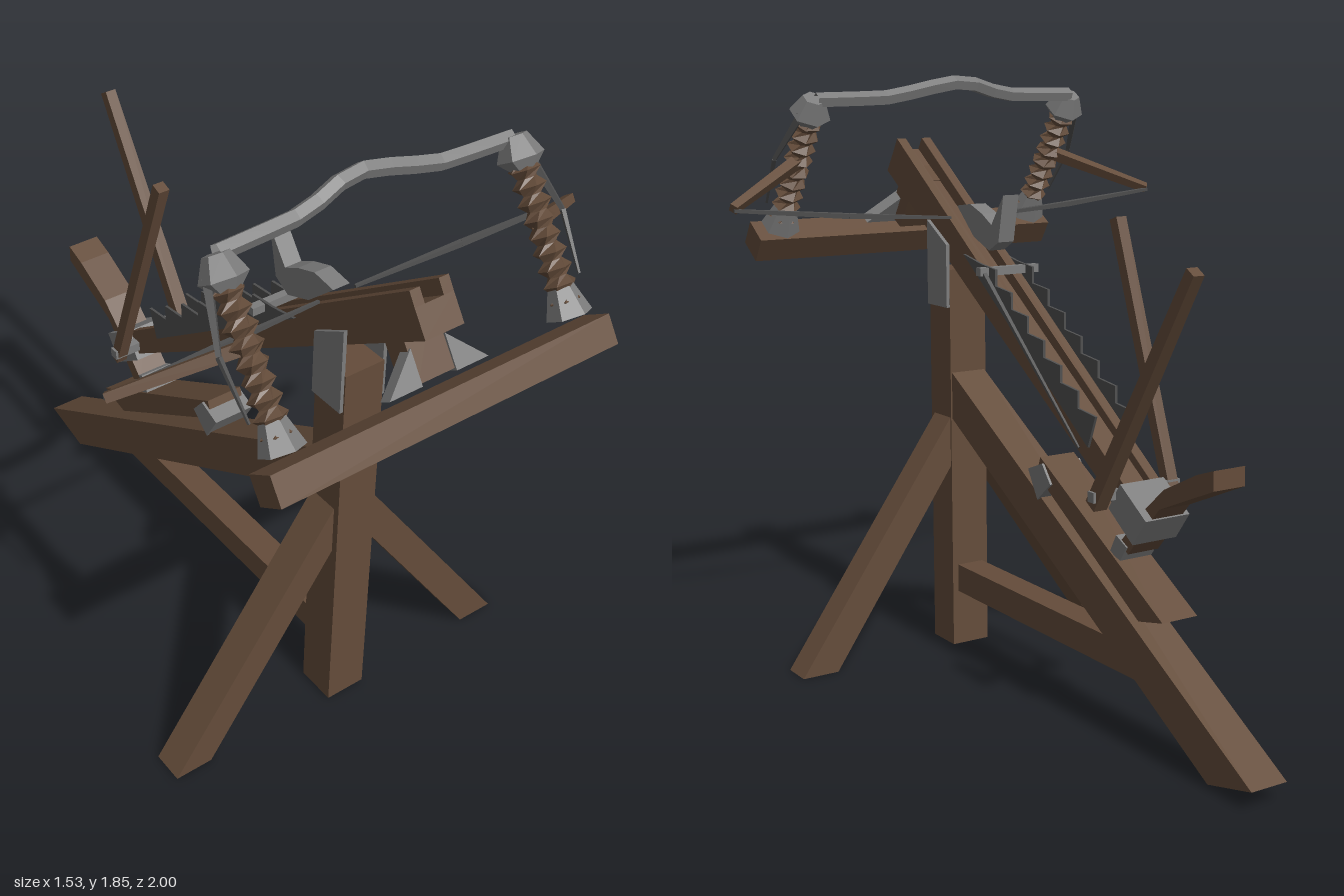
import * as THREE from 'three';

const mat = (name, color, flat = true) => {
  const m = new THREE.MeshStandardMaterial({ color, flatShading: flat, side: THREE.DoubleSide });
  m.name = name;
  return m;
};

export function createModel() {
  const root = new THREE.Group();
  root.name = 'ballista';
  const wood = mat('wood', 0x644c3a);
  const iron = mat('iron', 0x7c7c7c);
  const darkIron = mat('dark iron', 0x505050);
  const V = (x, y, z) => new THREE.Vector3(x, y, z);

  const add = (name, geo, material) => {
    const m = new THREE.Mesh(geo, material);
    m.name = name;
    root.add(m);
    return m;
  };
  // side profile given as [z, y], stretched from x0 to x1
  const prism = (name, pts, x0, x1, material) => {
    const s = new THREE.Shape(pts.map(([z, y]) => new THREE.Vector2(-z, y)));
    const g = new THREE.ExtrudeGeometry(s, { depth: x1 - x0, bevelEnabled: false });
    g.rotateY(Math.PI / 2).translate(x0, 0, 0);
    return add(name, g, material);
  };
  // tapered square bar between two points
  const bar = (name, a, b, w0, w1, material) => {
    const d = b.clone().sub(a);
    const g = new THREE.CylinderGeometry(w1 * 0.707, w0 * 0.707, d.length(), 4).rotateY(Math.PI / 4);
    const m = add(name, g, material);
    m.position.copy(a).addScaledVector(d, 0.5);
    m.quaternion.setFromUnitVectors(V(0, 1, 0), d.normalize());
    return m;
  };
  const box = (name, w, h, d, x, y, z, material) => {
    const m = add(name, new THREE.BoxGeometry(w, h, d), material);
    m.position.set(x, y, z);
    return m;
  };

  // stand
  box('post', 0.13, 1.24, 0.125, 0, 0.63, 0.567, wood);
  prism('rearLeg', [[0.505, 0.92], [0.505, 0.77], [-0.82, 0.01], [-1, 0.055]], -0.06, 0.06, wood);
  prism('floorBrace', [[0.505, 0.28], [-0.35, 0.28], [-0.5, 0.19], [0.505, 0.19]], -0.045, 0.045, wood);
  for (const s of [-1, 1]) {
    const leg = new THREE.Shape([[0.06, 0.78], [0.06, 0.62], [0.485, 0], [0.605, 0]].map(([x, y]) => new THREE.Vector2(s * x, y)));
    add('sideLeg', new THREE.ExtrudeGeometry(leg, { depth: 0.1, bevelEnabled: false }).translate(0, 0, 0.51), wood);
    prism('postBracket', [[0.625, 1.4], [0.505, 1.33], [0.505, 1.13], [0.625, 1.13]], s * 0.07 - 0.006, s * 0.07 + 0.006, iron);
  }

  // grooved stock, tapering towards the rear
  prism('stock', [[0.863, 1.61], [0.91, 1.54], [-0.48, 0.63], [-0.51, 0.67]], -0.062, 0.062, wood);
  for (const s of [-1, 1]) {
    const wall = [[0.84, 1.647], [0.863, 1.61], [-0.51, 0.67], [-0.52, 0.69]];
    prism('stockWall', wall, s * 0.046 - 0.016, s * 0.046 + 0.016, wood);
    // toothed rack along each side
    const rack = [[0.41, 1.31]];
    for (let i = 0; i < 7; i++) {
      const z = 0.31 - i * 0.088, y = 1.285 - i * 0.06;
      rack.push([z, y + 0.005], [z - 0.088, y - 0.005]);
    }
    rack.push([-0.27, 0.825]);
    prism('toothedRack', rack, s * 0.066 - 0.004, s * 0.066 + 0.004, darkIron);
  }
  prism('stockEndBracket', [[-0.435, 0.754], [-0.555, 0.674], [-0.495, 0.594], [-0.38, 0.674]], -0.075, 0.075, iron);

  // lower support bar and curved handle
  prism('supportBar', [[-0.01, 0.745], [0.01, 0.69], [-0.505, 0.375], [-0.615, 0.4]], -0.06, 0.06, wood);
  prism('supportBracket', [[0.045, 0.7], [-0.03, 0.73], [-0.075, 0.675], [-0.005, 0.615]], -0.068, 0.068, iron);
  prism('handle', [[-0.4, 0.575], [-0.44, 0.55], [-0.58, 0.71], [-0.81, 0.81], [-0.81, 0.865], [-0.74, 0.84], [-0.6, 0.77], [-0.52, 0.7]], -0.055, 0.05, wood);
  prism('handleBracket', [[-0.39, 0.595], [-0.36, 0.54], [-0.41, 0.525], [-0.44, 0.57]], -0.055, 0.055, iron);

  // winch
  box('winchAxle', 0.3, 0.03, 0.03, 0, 0.72, -0.4, iron);
  bar('rightLever', V(-0.125, 0.69, -0.41), V(-0.12, 1.455, -0.145), 0.035, 0.035, wood);
  bar('leftLever', V(0.12, 0.69, -0.385), V(0.12, 1.385, -0.81), 0.045, 0.035, wood);
  bar('winchRope', V(0.085, 1.27, 0.27), V(0.08, 0.82, -0.24), 0.014, 0.006, darkIron);

  // trigger claw
  prism('triggerClaw', [[0.52, 1.45], [0.44, 1.46], [0.37, 1.435], [0.315, 1.405], [0.245, 1.5], [0.275, 1.355], [0.33, 1.325], [0.42, 1.36]], -0.03, 0.025, iron);
  box('triggerAxle', 0.21, 0.025, 0.025, -0.005, 1.27, 0.27, iron);

  // crossbar and its mount
  const tilt = 0.585;
  box('crossbar', 1.09, 0.084, 0.097, -0.005, 1.33, 0.933, wood).rotation.x = -tilt;
  prism('crossbarMount', [[0.79, 1.56], [0.72, 1.515], [0.83, 1.36], [0.9, 1.4]], -0.062, 0.062, wood);
  for (const s of [-1, 1]) {
    const g = new THREE.Shape([new THREE.Vector2(s * 0.055, 0), new THREE.Vector2(s * 0.16, 0), new THREE.Vector2(s * 0.055, 0.1)]);
    const p = add('mountBrace', new THREE.ExtrudeGeometry(g, { depth: 0.04, bevelEnabled: false }), iron);
    p.position.set(0, 1.375, 0.875);
    p.rotation.x = -tilt;
  }

  // torsion spring towers, arms and bowstring
  for (const s of [-1, 1]) {
    const tower = new THREE.Group();
    tower.name = 'springTower';
    tower.position.set(s * 0.465, 1.37, 0.89);
    tower.rotation.x = -tilt;
    const part = (name, geo, m, y) => {
      const mesh = new THREE.Mesh(geo, m);
      mesh.name = name;
      mesh.position.y = y;
      tower.add(mesh);
    };
    const spring = new THREE.CylinderGeometry(1, 1, 0.4, 6, 18);
    const p = spring.attributes.position;
    for (let i = 0; i < p.count; i++) {
      const row = Math.round((p.getY(i) + 0.2) / 0.4 * 18);
      const r = row % 2 ? 0.046 : 0.026;
      const a = Math.atan2(p.getX(i), p.getZ(i)) + row * 0.4;
      const len = Math.hypot(p.getX(i), p.getZ(i));
      p.setXYZ(i, Math.sin(a) * r * len, p.getY(i), Math.cos(a) * r * len);
    }
    spring.computeVertexNormals();
    part('twistedSpring', spring, wood, 0.23);
    part('lowerCap', new THREE.CylinderGeometry(0.035, 0.062, 0.08, 6), iron, 0.05);
    part('upperCap', new THREE.CylinderGeometry(0.035, 0.064, 0.06, 6), iron, 0.47);
    part('upperCapBase', new THREE.CylinderGeometry(0.064, 0.035, 0.03, 6), iron, 0.425);
    root.add(tower);

    bar('bowArm', V(s * 0.45, 1.6, 0.745), V(s * 0.755, 1.47, 0.575), 0.035, 0.025, wood);
    bar('bowstringEnd', V(s * 0.755, 1.465, 0.57), V(s * 0.4, 1.435, 0.53), 0.01, 0.016, darkIron);
    bar('bowstring', V(s * 0.4, 1.435, 0.53), V(s * 0.06, 1.415, 0.5), 0.016, 0.008, darkIron);
    bar('towerStrap', V(s * 0.5, 1.74, 0.63), V(s * 0.545, 1.6, 0.74), 0.022, 0.012, darkIron);
    bar('towerStrapEnd', V(s * 0.545, 1.6, 0.74), V(s * 0.53, 1.46, 0.84), 0.012, 0.006, darkIron);
  }

  // bent rail joining the towers
  const rail = new THREE.CatmullRomCurve3([
    V(-0.46, 1.785, 0.61), V(-0.2, 1.79, 0.6), V(-0.05, 1.83, 0.575),
    V(0.03, 1.825, 0.575), V(0.22, 1.785, 0.6), V(0.46, 1.78, 0.61)], false, 'catmullrom', 0.2);
  add('topRail', new THREE.TubeGeometry(rail, 12, 0.024, 5), iron);

  return root;
}
